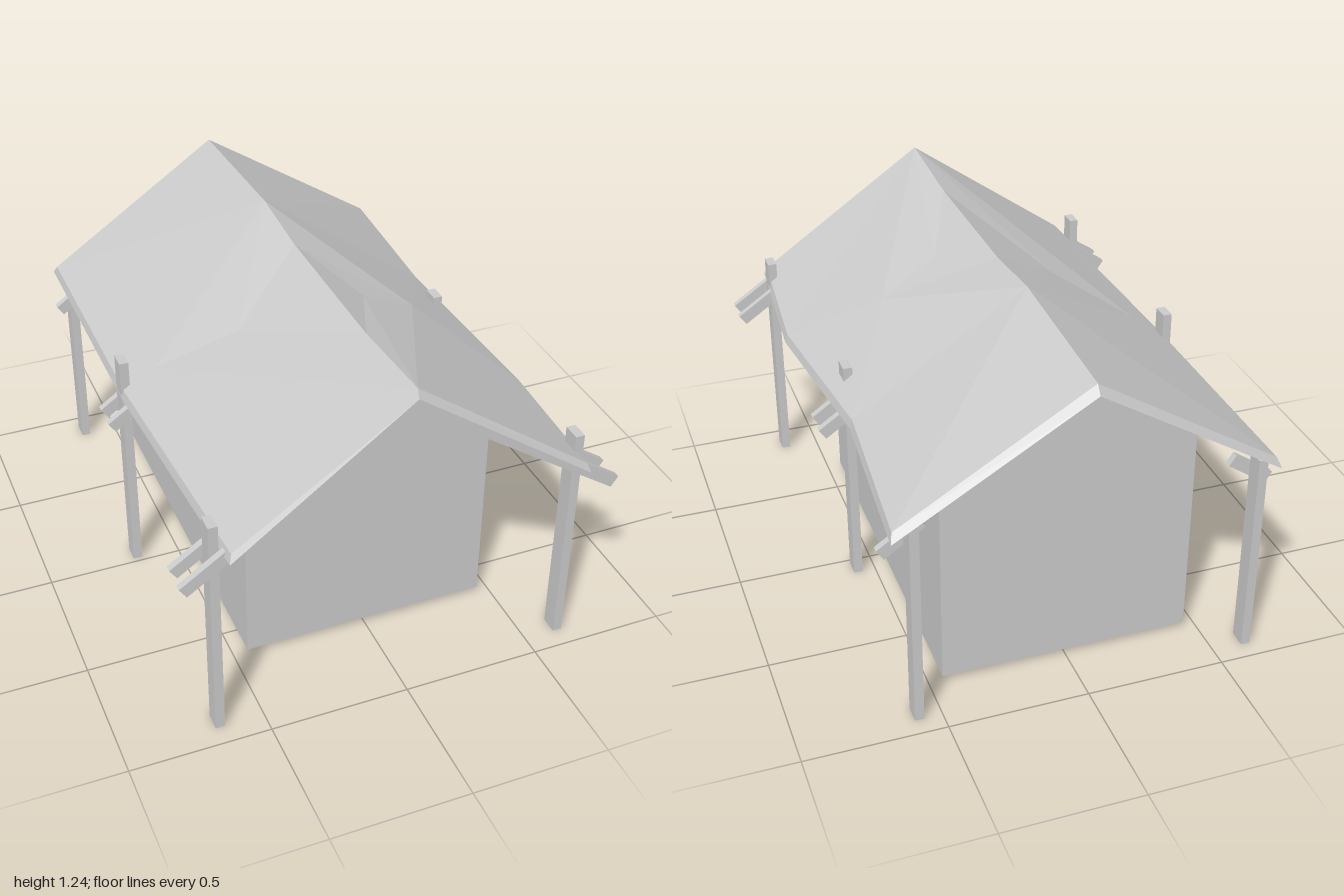
import * as THREE from 'three';

const grey = () => new THREE.MeshStandardMaterial({ color: 0xcccccc, flatShading: true });

// Warped roof sheet: corner points of the upper skin
const P = {
  R0: [0, 1.235, 0.965], R1: [0, 1.205, 0.58], R2: [0, 1.21, -0.05], R3: [0, 1.24, -0.35], R4: [0, 1.21, -0.975],
  E0: [0.63, 0.79, 0.985], E1: [0.67, 0.77, 0.44], E2: [0.61, 0.81, -0.3], E3: [0.655, 0.79, -0.945],
  F0: [-0.62, 0.79, 0.985], F1: [-0.665, 0.775, 0], F2: [-0.665, 0.785, -0.945],
  I: [0.365, 1.0, 0.17], J: [0.15, 1.115, 0.22], K: [-0.55, 0.855, 0], L: [-0.28, 1.02, 0.13],
};
const FACES = [
  'R0 E0 E1', 'R0 E1 I', 'R0 I J', 'R0 J R1', 'R1 J R2', 'J I R2', 'I R3 R2', 'I E1 E2', 'I E2 R3', 'R3 E2 E3', 'R3 E3 R4',
  'R0 K F0', 'F0 K F1', 'R0 L K', 'R0 R1 L', 'R1 R2 L', 'L R2 R3', 'L R3 K', 'K R3 F2', 'K F2 F1', 'R3 R4 F2',
];
const RIM = ['R0', 'E0', 'E1', 'E2', 'E3', 'R4', 'F2', 'F1', 'F0'];

function roofGeometry() {
  const top = (k) => P[k];
  // Lower skin: dropped, and splayed slightly at the rim
  const low = (k) => {
    const [x, y, z] = P[k];
    const dz = z > 0.9 ? 0.015 : z < -0.9 ? -0.024 : 0;
    const dx = /[EF]/.test(k) ? Math.sign(x) * 0.01 : 0;
    return [x + dx, y - 0.032, z + dz];
  };
  const pos = [];
  for (const f of FACES) {
    const [a, b, c] = f.split(' ');
    pos.push(...top(a), ...top(b), ...top(c), ...low(a), ...low(c), ...low(b));
  }
  RIM.forEach((a, i) => {
    const b = RIM[(i + 1) % RIM.length];
    pos.push(...top(a), ...low(a), ...low(b), ...top(a), ...low(b), ...top(b));
  });
  const g = new THREE.BufferGeometry();
  g.setAttribute('position', new THREE.Float32BufferAttribute(pos, 3));
  g.computeVertexNormals();
  return g;
}

export function createModel() {
  const model = new THREE.Group();
  model.name = 'hut';
  const add = (name, geometry) => {
    const m = new THREE.Mesh(geometry, grey());
    m.name = name;
    model.add(m);
    return m;
  };

  // Gabled body
  const outline = new THREE.Shape([
    [-0.452, 0.025], [0.452, 0.025], [0.452, 0.88], [0, 1.165], [-0.452, 0.88],
  ].map(([x, y]) => new THREE.Vector2(x, y)));
  add('walls', new THREE.ExtrudeGeometry(outline, { depth: 1.415, bevelEnabled: false })).position.z = -0.78;

  add('roof', roofGeometry());

  // Posts: x, z, height
  const posts = [
    [-0.657, 0.895, 0.86], [0.63, 0.895, 0.86],
    [-0.657, -0.05, 0.885], [0.565, -0.05, 0.885],
    [-0.625, -0.903, 0.775], [0.581, -0.903, 0.785],
  ];
  for (const [x, z, h] of posts) {
    add('post', new THREE.BoxGeometry(0.033, h, 0.064)).position.set(x, h / 2, z);
  }

  // Sloping timbers: centre x, centre y, z, length
  const slope = Math.atan(0.677);
  const timber = (name, x, y, z, length) => {
    const m = add(name, new THREE.BoxGeometry(length, 0.045, 0.025));
    m.position.set(x, y, z);
    m.rotation.z = -Math.sign(x) * slope;
  };
  for (const side of [-1, 1]) {
    // Full rafters at the front
    for (const z of [0.94, 0.843]) timber('rafter', side * 0.385, 0.911, z, 0.93);
    // Short brackets either side of the middle posts, and one at the rear
    for (const z of [0.003, -0.093]) timber('bracket', side < 0 ? -0.655 : 0.603, 0.695, z, 0.17);
    timber('bracket', side < 0 ? -0.62 : 0.603, 0.695, -0.848, 0.17);
  }
  return model;
}
